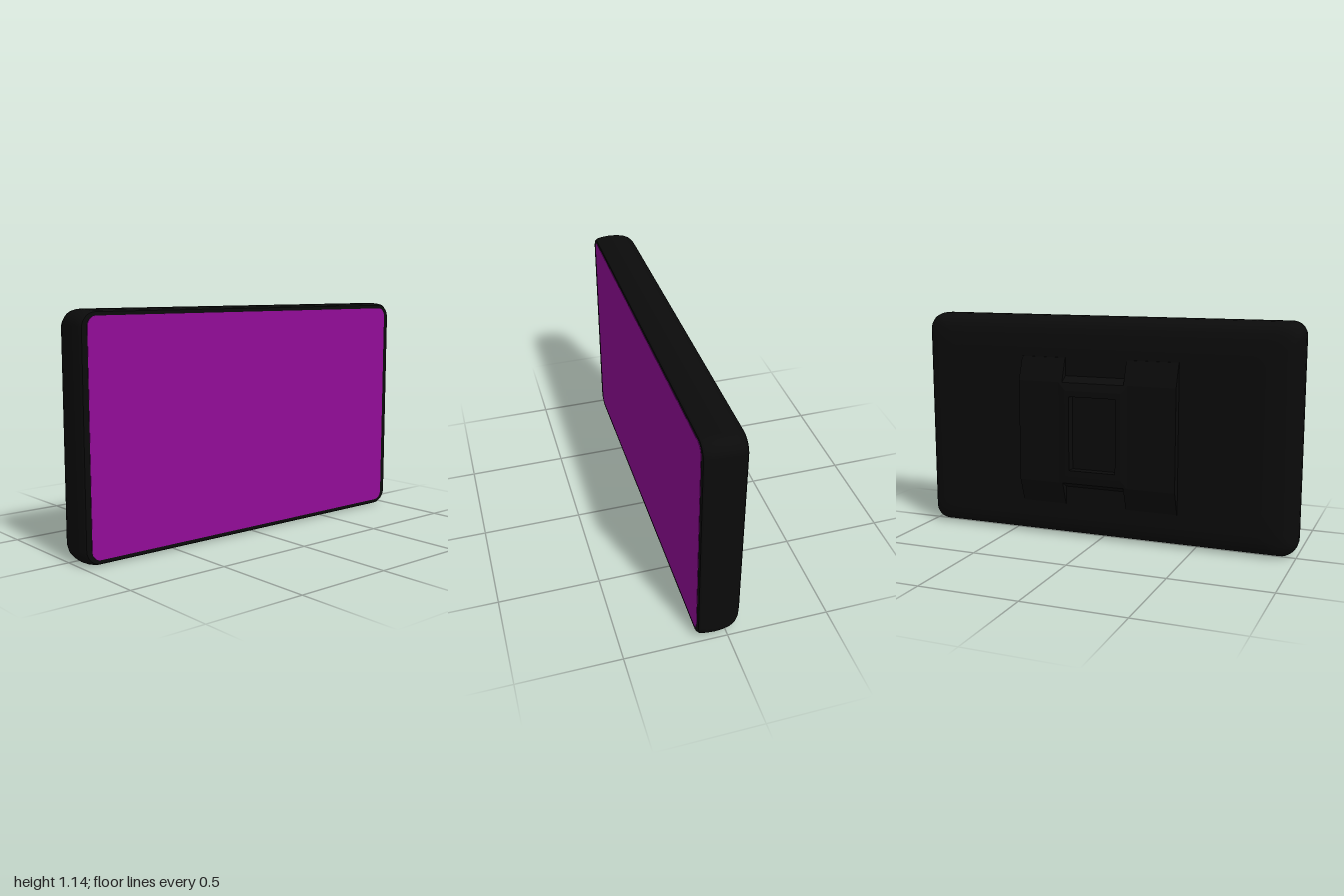
import * as THREE from 'three';

const W = 1, H = 1.145, CY = H / 2;

// Skins a stack of closed loops (counter-clockwise from the front, front to back) and caps both ends
function loft(loops, flat, capFront = true) {
  const n = loops[0].length, pos = [], idx = [];
  loops.forEach(l => l.forEach(p => pos.push(p.x, p.y, p.z)));
  for (let i = 0; i < loops.length - 1; i++) {
    for (let j = 0; j < n; j++) {
      const a = i * n + j, b = i * n + (j + 1) % n;
      idx.push(a, a + n, b, b, a + n, b + n);
    }
  }
  const cap = (loop, front) => {
    const start = pos.length / 3;
    const c = loop.reduce((s, p) => s.add(p), new THREE.Vector3()).divideScalar(n);
    [...loop, c].forEach(p => pos.push(p.x, p.y, p.z));
    for (let j = 0; j < n; j++) {
      const a = start + j, b = start + (j + 1) % n;
      idx.push(start + n, front ? a : b, front ? b : a);
    }
  };
  if (capFront) cap(loops[0], true);
  cap(loops[loops.length - 1], false);
  let g = new THREE.BufferGeometry();
  g.setAttribute('position', new THREE.Float32BufferAttribute(pos, 3));
  g.setIndex(idx);
  if (flat) g = g.toNonIndexed();
  g.computeVertexNormals();
  return g;
}

// Rounded rectangle about the middle of the panel
function roundedLoop(hw, hh, r, z, steps = 8) {
  const pts = [];
  [[1, 1], [-1, 1], [-1, -1], [1, -1]].forEach(([sx, sy], q) => {
    for (let k = 0; k <= steps; k++) {
      const a = (q + k / steps) * Math.PI / 2;
      pts.push(new THREE.Vector3(
        sx * (hw - r) + r * Math.cos(a), CY + sy * (hh - r) + r * Math.sin(a), z));
    }
  });
  return pts;
}

const rectLoop = ([x0, x1, y0, y1, z]) =>
  [[x0, y0], [x1, y0], [x1, y1], [x0, y1]].map(([x, y]) => new THREE.Vector3(x, y, z));

export function createModel() {
  const group = new THREE.Group();
  const black = new THREE.MeshStandardMaterial({ color: 0x0b0b0b });
  const purple = new THREE.MeshStandardMaterial({ color: 0x920c98 });
  const add = (name, geometry, material) => {
    const mesh = new THREE.Mesh(geometry, material);
    mesh.name = name;
    group.add(mesh);
    return mesh;
  };

  // Housing: [z, inset] sections, flat at the front and softly rounded at the back
  const sections = [
    [0.14, 0.012], [0.13, 0.006], [0.1, 0.002], [0.06, 0], [0.02, 0.002], [-0.015, 0.007],
    [-0.04, 0.016], [-0.058, 0.031], [-0.07, 0.053], [-0.078, 0.085], [-0.082, 0.125], [-0.083, 0.16],
  ];
  add('housing', loft(sections.map(([z, d]) => roundedLoop(W - d, H / 2 - d, 0.07, z))), black);

  // Screen: thin rounded sheet on the front
  add('screen', loft([0.142, 0.139].map(z => roundedLoop(0.96, 0.544, 0.045, z)), true), purple);

  // Mounting pads: sloped profile (depth behind centre, height) run along x
  const profile = new THREE.Shape([
    [0.07, 0.18], [0.088, 0.18], [0.13, 0.3], [0.13, 0.82], [0.088, 0.94], [0.07, 0.94],
  ].map(([d, y]) => new THREE.Vector2(d, y)));
  [['leftPad', 0.18, 0.42], ['rightPad', -0.42, -0.15]].forEach(([name, x0, x1]) => {
    const g = new THREE.ExtrudeGeometry(profile, { depth: x1 - x0, bevelEnabled: false });
    g.rotateY(Math.PI / 2).translate(x0, 0, 0);
    add(name, g, black);
  });

  // Centre frame: sloped rim around a square recess
  add('mountFrame', loft([
    [-0.17, 0.2, 0.27, 0.85, -0.08],
    [-0.17, 0.2, 0.3, 0.82, -0.13],
    [-0.14, 0.16, 0.34, 0.78, -0.14],
    [-0.11, 0.14, 0.37, 0.75, -0.14],
    [-0.11, 0.14, 0.37, 0.75, -0.09],
  ].map(rectLoop), true, false), black);

  return group;
}
